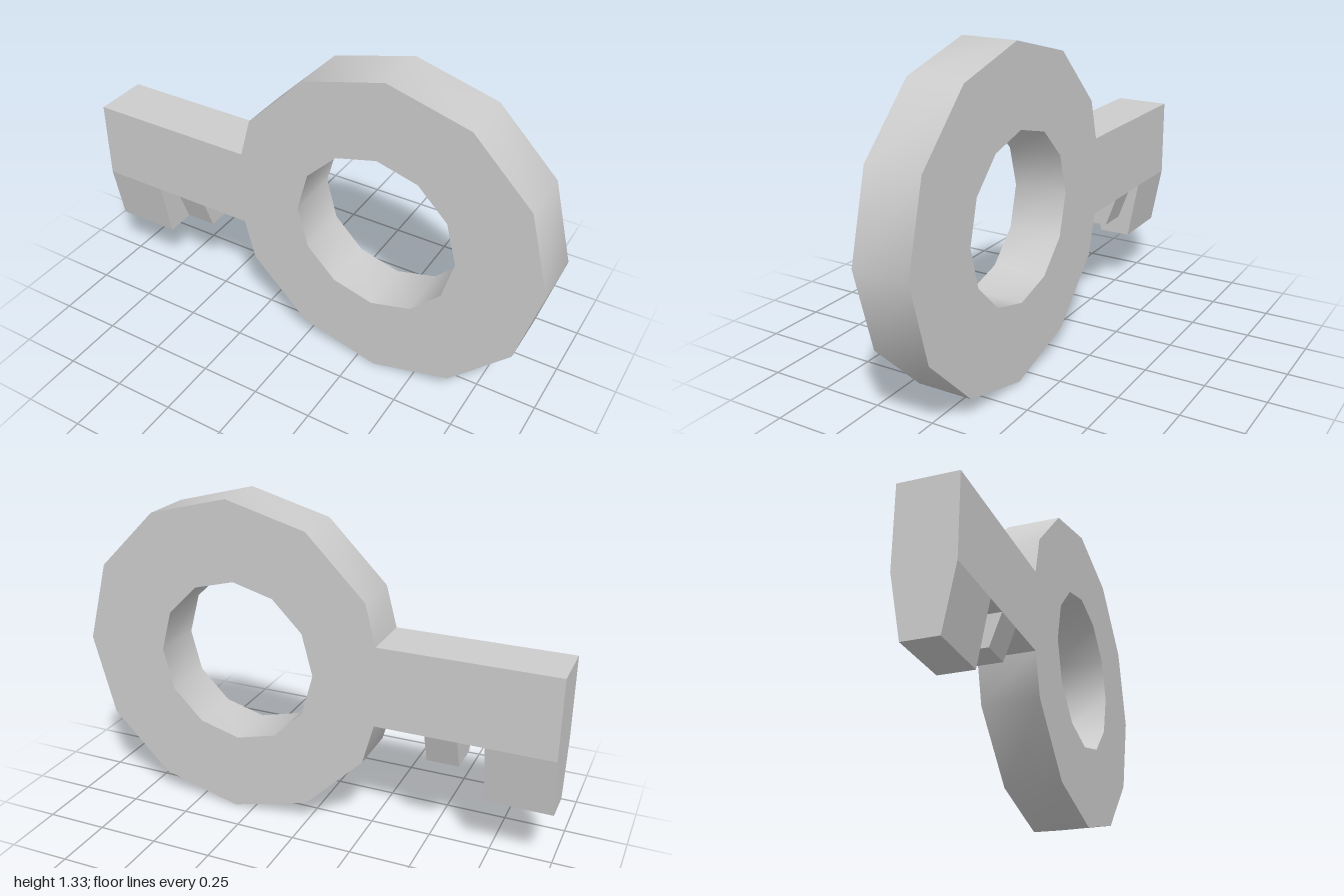
import * as THREE from 'three';
import { toCreasedNormals } from 'three/addons/utils/BufferGeometryUtils.js';

const DEPTH = 0.23;
const AXIS_Y = 0.67;

// points of a twelve-sided ring, counter-clockwise from angle step `first` to `last`
function ringPoints(cx, radius, first, last) {
  const points = [];
  for (let i = first; i <= last; i++) {
    const a = (i * Math.PI) / 6;
    points.push(new THREE.Vector2(cx + radius * Math.cos(a), AXIS_Y + radius * Math.sin(a)));
  }
  return points;
}

// block hanging below the shaft, narrowing in depth towards its lower end
function tooth(name, x0, x1, y0, y1, material) {
  const geometry = new THREE.BoxGeometry(x1 - x0, y1 - y0, DEPTH);
  const pos = geometry.attributes.position;
  for (let i = 0; i < pos.count; i++) {
    if (pos.getY(i) < 0) pos.setZ(i, pos.getZ(i) * 0.6);
  }
  geometry.computeVertexNormals();
  const mesh = new THREE.Mesh(geometry, material);
  mesh.position.set((x0 + x1) / 2, (y0 + y1) / 2, 0);
  mesh.name = name;
  return mesh;
}

export function createModel() {
  const key = new THREE.Group();
  key.name = 'key';
  const material = new THREE.MeshStandardMaterial({ color: 0xcccccc });

  // bow ring and shaft share one outline; the shaft replaces the ring's corner on the -x side
  const shape = new THREE.Shape([
    ...ringPoints(0.333, 0.667, -5, 5),
    new THREE.Vector2(-0.29, 0.835),
    new THREE.Vector2(-1, 0.835),
    new THREE.Vector2(-1, 0.505),
    new THREE.Vector2(-0.29, 0.505),
  ]);
  shape.holes.push(new THREE.Path(ringPoints(0.31, 0.34, 0, 11).reverse()));
  const plate = new THREE.ExtrudeGeometry(shape, { depth: DEPTH, bevelEnabled: false });
  plate.translate(0, 0, -DEPTH / 2);

  // rounded shading along the ring walls, sharp edges elsewhere
  const body = new THREE.Mesh(toCreasedNormals(plate, 0.7), material);
  body.name = 'bowAndShaft';
  key.add(body);

  key.add(tooth('longTooth', -1, -0.73, 0.255, 0.505, material));
  key.add(tooth('shortTooth', -0.625, -0.495, 0.38, 0.505, material));
  return key;
}
